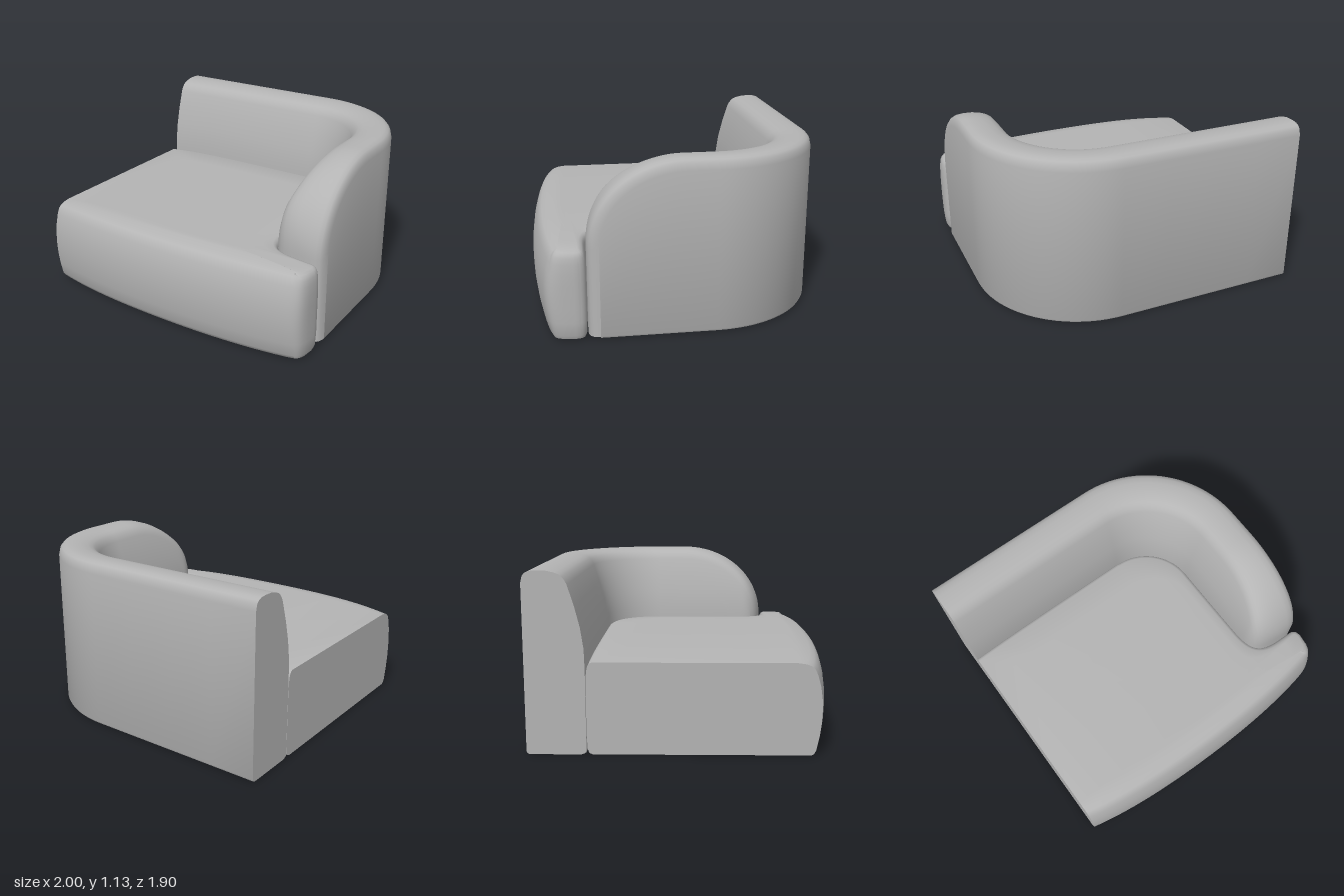
import * as THREE from 'three';
import { toCreasedNormals } from 'three/addons/utils/BufferGeometryUtils.js';

const lerp = THREE.MathUtils.lerp, clamp = THREE.MathUtils.clamp;

// Skin a series of closed rings that all have the same number of points
function loft(rings) {
  const n = rings[0].length, pos = [], idx = [];
  rings.forEach(r => r.forEach(p => pos.push(p.x, p.y, p.z)));
  for (let i = 0; i < rings.length - 1; i++) {
    for (let j = 0; j < n; j++) {
      const a = i * n + j, b = i * n + (j + 1) % n, c = a + n, d = b + n;
      idx.push(a, c, d, a, d, b);
    }
  }
  const g = new THREE.BufferGeometry();
  g.setAttribute('position', new THREE.Float32BufferAttribute(pos, 3));
  g.setIndex(idx);
  return toCreasedNormals(g, 0.6);
}

// Ring shrunk to its middle, used to close an end
function collapsed(ring) {
  const c = new THREE.Vector3();
  ring.forEach(p => c.add(p));
  c.divideScalar(ring.length);
  return ring.map(() => c.clone());
}

// Wraparound back and arm: one padded section swept round the corner
function backrestGeometry() {
  const stations = []; // outer point, travel direction, top height, top normal (along travel, up)
  const add = (x, z, tx, tz, h = 1.14, nt = 0, ny = 1) => stations.push({ x, z, tx, tz, h, nt, ny });
  for (let i = 0; i < 4; i++) add(lerp(-1, 0.25, i / 4), -0.95, 1, 0);
  for (let i = 0; i <= 24; i++) {
    const a = i / 24 * Math.PI / 2;
    add(0.25 + 0.745 * Math.sin(a), -0.2 - 0.75 * Math.cos(a), Math.cos(a), Math.sin(a));
  }
  // arm top curving down to the front
  for (let i = 0; i <= 24; i++) {
    const a = i / 24 * Math.PI / 2;
    const n = new THREE.Vector2(Math.sin(a) / 0.61, Math.cos(a) / 0.54).normalize();
    add(0.995, 0.61 * Math.sin(a), 0, 1, 0.6 + 0.54 * Math.cos(a), n.x, n.y);
  }
  for (const h of [0.4, 0.2, 0.02]) add(0.995, 0.61, 0, 1, h, 1, 0);

  // [inset from the side, depth below the top] of the rounded edges
  const innerEdge = [[0, 0.085], [0.004, 0.06], [0.013, 0.04], [0.03, 0.025], [0.06, 0.013], [0.11, 0.002]];
  const outerEdge = [[0.09, 0], [0.05, 0.004], [0.025, 0.015], [0.01, 0.033], [0, 0.075]];
  const width = (y, z) => {
    const t = clamp((z - 0.46) / 0.15, 0, 1);
    return 0.26 + 0.11 * Math.sin(clamp((1.1 - y) / 0.52, 0, 1) * Math.PI / 2)
      - 0.14 * (1 - Math.sqrt(1 - t * t));
  };
  const rings = stations.map(s => {
    const ring = [];
    const put = (inner, inset, e, y) => {
      const z = s.z - s.tz * e * s.nt;
      const u = inner ? width(y, s.tz > 0.999 ? z : -1) - inset : inset;
      ring.push(new THREE.Vector3(s.x - s.tx * e * s.nt - s.tz * u, y, z + s.tx * u));
    };
    const topY = e => Math.max(s.h - e * s.ny, 0.02);
    put(true, 0.03, 0.085, 0.005);
    put(true, 0.01, 0.085, 0.012);
    for (let k = 0; k < 8; k++) put(true, 0, 0.085, lerp(0.02, topY(0.085), k / 8));
    innerEdge.forEach(([i, e]) => put(true, i, e, topY(e)));
    outerEdge.forEach(([i, e]) => put(false, i, e, topY(e)));
    put(false, 0, 0.075, 0.025);
    put(false, 0.006, 0.075, 0.012);
    put(false, 0.02, 0.075, 0.005);
    return ring;
  });
  return loft([collapsed(rings[0]), ...rings, collapsed(rings[rings.length - 1])]);
}

// Seat: plan outline stacked in layers, with a bulging front and crowned top
function seatGeometry() {
  const plan = new THREE.Shape(); // x, z
  plan.moveTo(-1, -0.577);
  for (let i = 1; i <= 6; i++) plan.lineTo(lerp(-1, 0.25, i / 6), -0.577);
  plan.absarc(0.25, -0.2, 0.373, -Math.PI / 2, 0, false);
  plan.lineTo(0.623, 0.1);
  plan.lineTo(0.625, 0.4);
  plan.bezierCurveTo(0.63, 0.55, 0.67, 0.605, 0.82, 0.61);
  plan.lineTo(0.94, 0.612);
  plan.bezierCurveTo(0.985, 0.615, 1, 0.645, 1, 0.69);
  plan.lineTo(0.995, 0.76);
  plan.bezierCurveTo(0.985, 0.84, 0.96, 0.865, 0.88, 0.88);
  plan.bezierCurveTo(0.65, 0.925, 0.35, 0.95, 0, 0.95);
  plan.bezierCurveTo(-0.35, 0.95, -0.7, 0.93, -1, 0.86);
  const pts = plan.getPoints(12).filter((p, i, all) => i === 0 || p.distanceTo(all[i - 1]) > 1e-4);
  const n = pts.length;
  const normals = pts.map((p, i) => {
    if (p.x < -0.999) return new THREE.Vector2(0, Math.sign(p.y));
    const d = pts[(i + 1) % n].clone().sub(pts[(i + n - 1) % n]).normalize();
    return new THREE.Vector2(d.y, -d.x);
  });
  const crown = (x, y) => y - 0.025 * x ** 4 * (y / 0.6);
  // [height, inset of the sides, inset of the front]
  const layers = [
    [0.006, 0.035, 0.06], [0.015, 0.015, 0.045], [0.04, 0.005, 0.032], [0.13, 0, 0.014],
    [0.22, 0, 0.003], [0.3, 0, 0], [0.38, 0, 0.003], [0.46, 0, 0.014], [0.53, 0.003, 0.033],
    [0.57, 0.008, 0.05], [0.588, 0.014, 0.068], [0.602, 0.023, 0.1], [0.61, 0.04, 0.15],
  ];
  const rings = layers.map(([y, side, front]) => pts.map((p, i) => {
    const nm = normals[i], inset = lerp(side, front, p.y > 0.7 ? Math.max(0, nm.y) : 0);
    const x = p.x - nm.x * inset;
    return new THREE.Vector3(x, crown(x, y), p.y - nm.y * inset);
  }));
  // lids shrink towards a point that sees the whole outline
  const lid = (ring, y, t) => ring.map(p => {
    const x = lerp(p.x, 0.2, t);
    return new THREE.Vector3(x, crown(x, y), lerp(p.z, 0.72, t));
  });
  const top = rings[rings.length - 1];
  return loft([lid(rings[0], 0.006, 1), ...rings,
    lid(top, 0.613, 0.15), lid(top, 0.615, 0.4), lid(top, 0.615, 0.7), lid(top, 0.615, 1)]);
}

export function createModel() {
  const group = new THREE.Group();
  group.name = 'cornerSofa';
  const fabric = new THREE.MeshStandardMaterial({ color: 0xb4b4b4 });
  fabric.name = 'greyFabric';
  const parts = { backrest: backrestGeometry(), seat: seatGeometry() };
  for (const [name, geometry] of Object.entries(parts)) {
    const mesh = new THREE.Mesh(geometry, fabric);
    mesh.name = name;
    group.add(mesh);
  }
  return group;
}
